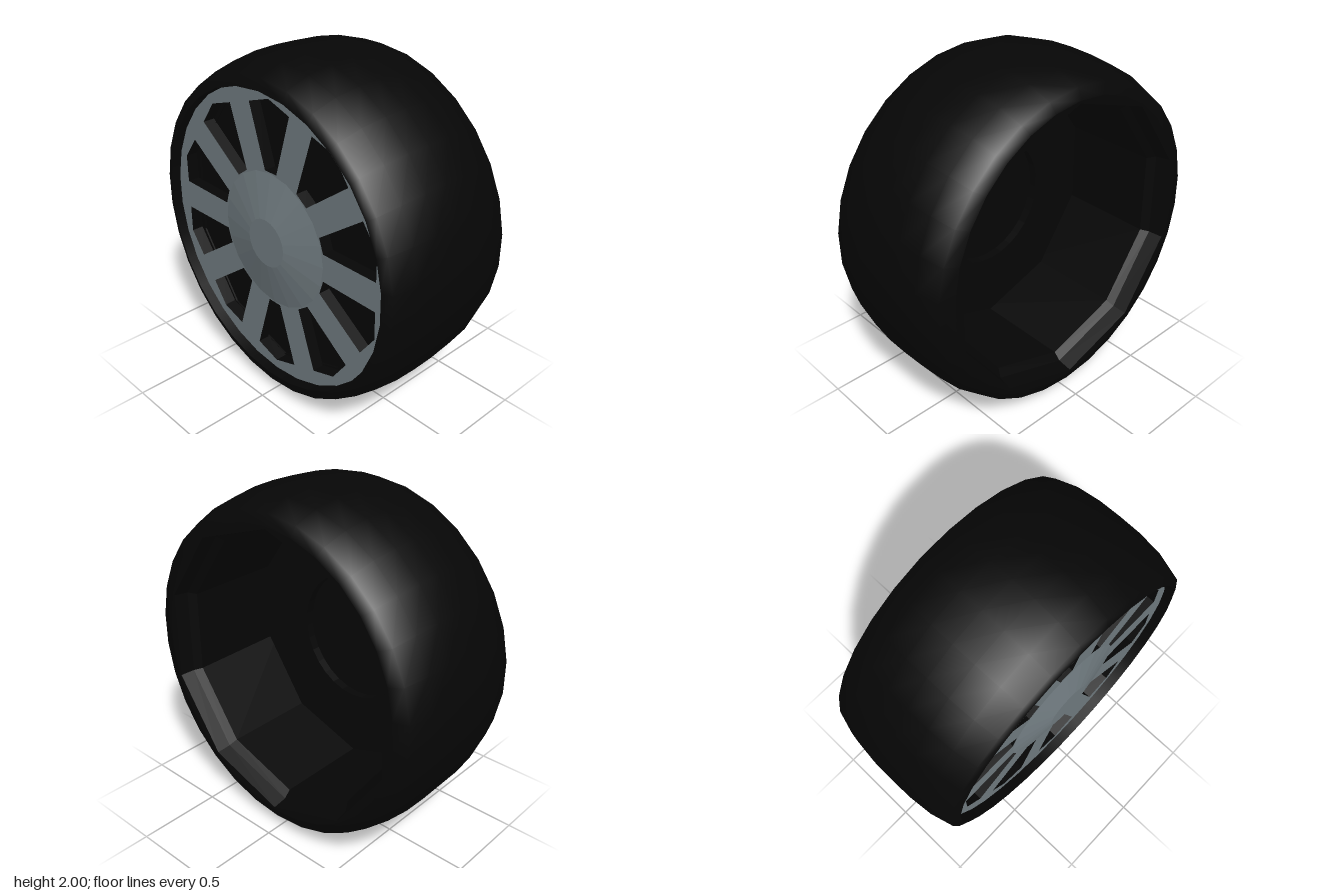
import * as THREE from 'three';

const rubber = new THREE.MeshStandardMaterial({ color: 0x060606, side: THREE.DoubleSide });
rubber.name = 'black rubber';
const alloy = new THREE.MeshStandardMaterial({ color: 0x737e83 });
alloy.name = 'grey alloy';

// Revolve [radius, z] points about the z axis
function turned(points, sides, flat) {
  let geo = new THREE.LatheGeometry(points.map(([r, z]) => new THREE.Vector2(r, z)), sides);
  geo.rotateX(Math.PI / 2);
  if (flat) {
    geo = geo.toNonIndexed();
    geo.computeVertexNormals();
  }
  return geo;
}

// Regular polygon with a corner at the top
function polygon(radius, sides) {
  return Array.from({ length: sides }, (_, i) => {
    const a = Math.PI / 2 + (i / sides) * Math.PI * 2;
    return new THREE.Vector2(radius * Math.cos(a), radius * Math.sin(a));
  });
}

// Plate with ten windows between straight spokes, from z = back to z = front
function spokedPlate(radius, sides, back, front) {
  const shape = new THREE.Shape(polygon(radius, sides));
  const outline = [[-0.045, 0.4], [-0.155, 0.752], [0, 0.803], [0.155, 0.752], [0.045, 0.4]];
  for (let i = 0; i < 10; i++) {
    const turn = (i / 10) * Math.PI * 2;
    shape.holes.push(new THREE.Path(outline.map(([x, y]) =>
      new THREE.Vector2(x, y).rotateAround(new THREE.Vector2(), turn))));
  }
  const geo = new THREE.ExtrudeGeometry(shape, { depth: front - back, bevelEnabled: false });
  geo.translate(0, 0, back);
  return geo;
}

function part(parent, name, geo, material) {
  const mesh = new THREE.Mesh(geo, material);
  mesh.name = name;
  parent.add(mesh);
}

// Tyre: each ring is [radius, z, narrowing across x]
function tyreGeometry() {
  const rings = [
    [0.86, -0.445, 0.96], [0.92, -0.422, 0.988], [0.972, -0.29, 0.973], [0.995, -0.14, 0.966],
    [1, 0, 0.963],
    [0.995, 0.14, 0.966], [0.972, 0.29, 0.973], [0.92, 0.422, 0.988], [0.86, 0.442, 0.995],
  ];
  const geo = turned(rings, 30, false);
  const pos = geo.attributes.position;
  for (let i = 0; i < pos.count; i++) pos.setX(i, pos.getX(i) * rings[i % rings.length][2]);
  geo.computeBoundingSphere();
  return geo;
}

export function createModel() {
  const wheel = new THREE.Group();
  wheel.name = 'wheel';
  part(wheel, 'tyre', tyreGeometry(), rubber);

  // Wall from the tyre's front lip down to the recessed rim face
  part(wheel, 'frontLip', turned([[0.857, 0.36], [0.857, 0.442]], 30, false), rubber);

  // Inner barrel, slightly narrower across x
  const inside = new THREE.Group();
  inside.name = 'rimInside';
  inside.scale.x = 0.96;
  wheel.add(inside);

  // Back lip with a ten-sided opening
  const lip = new THREE.Shape(polygon(0.86, 30));
  lip.holes.push(new THREE.Path(polygon(0.845, 10).reverse()));
  const lipGeo = new THREE.ShapeGeometry(lip);
  lipGeo.rotateY(Math.PI);
  lipGeo.translate(0, 0, -0.445);
  part(inside, 'backLip', lipGeo, rubber);

  // Stepped barrel and recessed hub
  part(inside, 'innerBarrel', turned([
    [0.79, 0.32], [0.79, -0.32], [0.83, -0.36], [0.845, -0.445],
  ], 10, true), rubber);
  part(inside, 'innerHub', turned([[0, 0.28], [0.385, 0.28], [0.385, 0.23]], 30, true), rubber);
  const web = new THREE.Shape(polygon(0.79, 10));
  web.holes.push(new THREE.Path(polygon(0.385, 30)));
  const webGeo = new THREE.ShapeGeometry(web);
  webGeo.rotateY(Math.PI);
  webGeo.translate(0, 0, 0.25);
  part(inside, 'innerWeb', webGeo, rubber);

  // Dark plate closing the windows
  const backing = new THREE.CircleGeometry(0.82, 30);
  backing.translate(0, 0, 0.31);
  part(wheel, 'windowBacking', backing, rubber);

  // Rim face, set back inside the tyre's lip
  part(wheel, 'spokedFace', spokedPlate(0.857, 30, 0.312, 0.382), [alloy, rubber]);

  // Shallow hub cone with a flat centre
  part(wheel, 'hubCap', turned([[0.395, 0.383], [0.14, 0.43]], 20, true), alloy);
  part(wheel, 'hubCentre', turned([[0.14, 0.43], [0, 0.43]], 20, true), alloy);

  wheel.position.y = 1;
  const model = new THREE.Group();
  model.name = 'model';
  model.add(wheel);
  return model;
}
